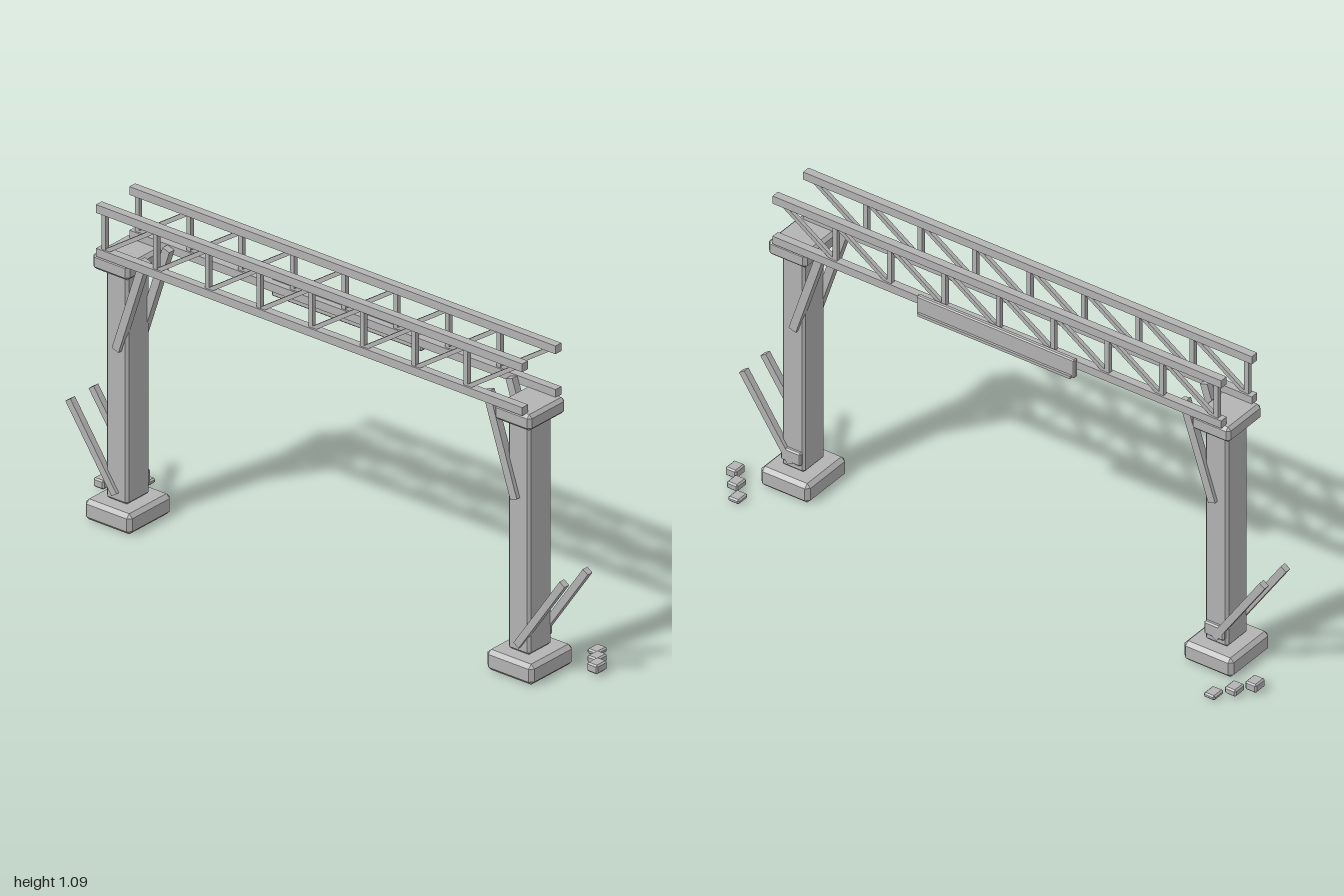
import * as THREE from 'three';
import { ConvexGeometry } from 'three/addons/geometries/ConvexGeometry.js';

// Box with flat chamfers on every edge
function chamferBox(w, h, d, c) {
  const pts = [];
  for (const sx of [-1, 1]) for (const sy of [-1, 1]) for (const sz of [-1, 1])
    for (let axis = 0; axis < 3; axis++) {
      const half = [w / 2 - c, h / 2 - c, d / 2 - c];
      half[axis] += c;
      pts.push(new THREE.Vector3(sx * half[0], sy * half[1], sz * half[2]));
    }
  return new ConvexGeometry(pts);
}

export function createModel() {
  const steel = new THREE.MeshStandardMaterial({ color: 0xb3b3b3 });
  steel.name = 'grey';
  const model = new THREE.Group();
  model.name = 'gantry';

  function add(parent, name, geometry, x, y, z) {
    const mesh = new THREE.Mesh(geometry, steel);
    mesh.name = name;
    mesh.position.set(x, y, z);
    parent.add(mesh);
    return mesh;
  }

  // Square bar in a plane of constant z, between two points
  function bar(parent, name, x1, y1, x2, y2, z, thick, depth) {
    const length = Math.hypot(x2 - x1, y2 - y1);
    const mesh = add(parent, name, new THREE.BoxGeometry(length, thick, depth),
      (x1 + x2) / 2, (y1 + y2) / 2, z);
    mesh.rotation.z = Math.atan2(y2 - y1, x2 - x1);
  }

  // Towers, mirrored left and right
  const midZ = 0.065;
  for (const s of [-1, 1]) {
    const tower = new THREE.Group();
    tower.name = s > 0 ? 'leftTower' : 'rightTower';
    model.add(tower);
    const x = s * 0.797;
    add(tower, 'base', chamferBox(0.185, 0.07, 0.204, 0.013), x, 0.035, midZ);
    add(tower, 'column', chamferBox(0.086, 0.785, 0.109, 0.008), x, 0.4645, midZ);
    add(tower, 'cap', chamferBox(0.145, 0.055, 0.175, 0.011), x, 0.8845, midZ);
    add(tower, 'backPlate', chamferBox(0.075, 0.048, 0.018, 0.005), x, 0.124, 0.007);

    for (const z of [0.121, 0.011])
      bar(tower, 'kneeBrace', s * 0.79, 0.597, s * 0.68, 0.932, z, 0.028, 0.026);
    for (const z of [0.12, 0.009])
      bar(tower, 'lowerStrut', s * 0.797, 0.099, s * 0.98, 0.366, z, 0.024, 0.022);

    // Loose stepping blocks beside the base
    const blocks = [[0.979, 0.023, -0.037, 0.031], [0.938, 0.017, -0.087, 0.025], [0.896, 0.011, -0.138, 0.017]];
    for (const [bx, by, bz, h] of blocks)
      add(tower, 'block', chamferBox(0.042, h, 0.05, 0.005), s * bx, by, bz);
  }

  // Two parallel trusses spanning the towers
  const bay = 0.205;
  for (const z of [0.145, -0.014]) {
    const truss = new THREE.Group();
    truss.name = z > 0 ? 'frontTruss' : 'backTruss';
    model.add(truss);
    for (const y of [0.924, 1.073])
      add(truss, 'chord', new THREE.BoxGeometry(1.69, 0.028, 0.028), 0, y, z);
    for (let i = 0; i < 8; i++) {
      const x = -0.82 + i * bay;
      add(truss, 'post', new THREE.BoxGeometry(0.016, 0.149, 0.016), x, 0.9985, z);
      bar(truss, 'diagonal', x, 0.93, x + bay, 1.068, z, 0.014, 0.014);
    }
  }

  // Panel hung on the back truss, with a lip along its lower edge
  add(model, 'panel', chamferBox(0.595, 0.068, 0.018, 0.004), -0.003, 0.914, -0.032);
  add(model, 'panelLip', new THREE.BoxGeometry(0.575, 0.01, 0.012), -0.003, 0.885, -0.043);

  return model;
}
